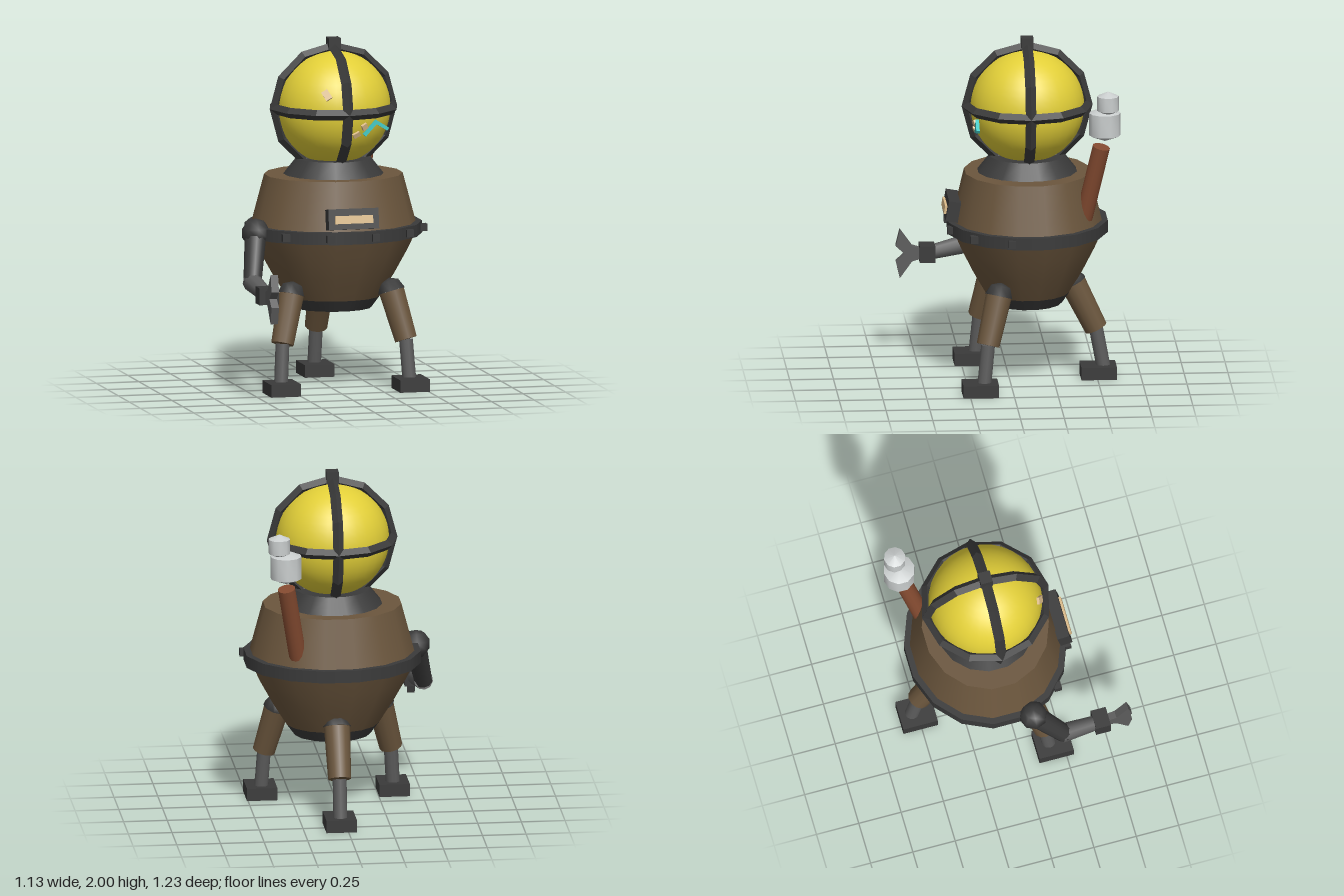
import * as THREE from 'three';
import { toCreasedNormals } from 'three/addons/utils/BufferGeometryUtils.js';

const paint = (name, color) => {
  const m = new THREE.MeshStandardMaterial({ color });
  m.name = name;
  return m;
};

export function createModel() {
  const brown = paint('bronze brown', 0x6b563d);
  const dark = paint('dark iron', 0x3a3a3a);
  const grey = paint('steel grey', 0x5c5c5c);
  const yellow = paint('yellow glass', 0xe2cf38);
  const tan = paint('pale tan', 0xdcbc8a);
  const rust = paint('rust pipe', 0x834a30);
  const smoke = paint('smoke grey', 0xcacece);
  const teal = paint('teal', 0x42cac6);

  const model = new THREE.Group();
  model.name = 'robot';
  const CX = 0.04, CZ = -0.102; // axis of the body

  const add = (name, geo, mat, x = 0, y = 0, z = 0, parent = model) => {
    const m = new THREE.Mesh(geo, mat);
    m.name = name;
    m.position.set(x, y, z);
    parent.add(m);
    return m;
  };
  const box = (name, mat, w, h, d, x, y, z, parent) =>
    add(name, new THREE.BoxGeometry(w, h, d), mat, x, y, z, parent);
  // tapered rod from point a to point b
  const rod = (name, mat, a, b, ra, rb, sides = 12, parent = model) => {
    const A = new THREE.Vector3(...a), B = new THREE.Vector3(...b);
    const m = add(name, new THREE.CylinderGeometry(rb, ra, A.distanceTo(B), sides), mat, 0, 0, 0, parent);
    m.position.copy(A).add(B).multiplyScalar(0.5);
    m.quaternion.setFromUnitVectors(new THREE.Vector3(0, 1, 0), B.sub(A).normalize());
    return m;
  };

  // Body: stacked round sections, slightly narrower front to back
  const body = new THREE.Group();
  body.name = 'body';
  body.position.set(CX, 0, CZ);
  body.scale.z = 0.91;
  model.add(body);
  const section = (name, mat, r0, y0, r1, y1, parent = body) => {
    const geo = new THREE.CylinderGeometry(r1, r0, y1 - y0, 16);
    geo.rotateY(Math.PI / 16);
    return add(name, geo, mat, 0, (y0 + y1) / 2, 0, parent);
  };
  section('bellyCap', dark, 0.22, 0.45, 0.268, 0.515);
  const belly = [[0.268, 0.515], [0.35, 0.645], [0.425, 0.78], [0.482, 0.9]];
  const bellyGeo = new THREE.LatheGeometry(belly.map(p => new THREE.Vector2(...p)), 16);
  bellyGeo.rotateY(Math.PI / 16);
  add('lowerHull', bellyGeo, brown, 0, 0, 0, body);
  section('upperHull', brown, 0.482, 0.9, 0.397, 1.22);
  section('waistBand', dark, 0.508, 0.872, 0.508, 0.942);

  // Bolts around the front of the band
  for (let i = 0; i < 6; i++) {
    const a = THREE.MathUtils.degToRad(-75 + i * 30);
    box('bandBolt', dark, 0.042, 0.042, 0.042,
      CX + 0.514 * Math.sin(a), 0.907, CZ + 0.46 * Math.cos(a));
  }

  // Neck and glass head
  const head = new THREE.Group();
  head.name = 'head';
  head.position.set(CX, 0, CZ);
  model.add(head);
  section('neck', dark, 0.29, 1.215, 0.215, 1.31, head);
  add('glassDome', new THREE.SphereGeometry(0.326, 32, 24), yellow, 0, 1.6, 0, head);

  // Cage of three faceted hoops with a top knob
  const hoop = toCreasedNormals(new THREE.TorusGeometry(0.344, 0.03, 4, 12), 0.1);
  add('cageHoopAcross', hoop, dark, 0, 1.6, 0, head);
  add('cageHoopFrontBack', hoop, dark, 0, 1.6, 0, head).rotation.y = Math.PI / 2;
  add('cageHoopEquator', hoop, dark, 0, 1.6, 0, head).rotation.x = Math.PI / 2;
  box('topKnob', dark, 0.07, 0.07, 0.07, 0, 1.965, 0, head);

  // Small marks on the glass
  const chevron = (x0, y0, x1, y1) => {
    const bar = box('tealMark', teal, Math.hypot(x1 - x0, y1 - y0) + 0.014, 0.02, 0.02,
      (x0 + x1) / 2, (y0 + y1) / 2, 0.194);
    bar.rotation.z = Math.atan2(y1 - y0, x1 - x0);
  };
  chevron(0.15, 1.48, 0.214, 1.55);
  chevron(0.214, 1.55, 0.278, 1.51);
  const centre = new THREE.Vector3(CX, 1.6, CZ);
  for (const [x, y, w, h, turn] of [
    [-0.073, 1.712, 0.04, 0.058, 0.6], [0.098, 1.48, 0.042, 0.028, 0.5], [0.145, 1.525, 0.034, 0.034, 0.5],
  ]) {
    const dir = new THREE.Vector3(x - CX, y - 1.6, 0);
    dir.z = Math.sqrt(0.331 ** 2 - dir.lengthSq());
    const p = centre.clone().add(dir);
    const patch = box('tanPatch', tan, w, h, 0.016, p.x, p.y, p.z);
    patch.lookAt(p.clone().add(dir));
    patch.rotateZ(turn);
  }

  // Chest lamp, tilted with the hull
  const lamp = new THREE.Group();
  lamp.name = 'chestLamp';
  lamp.position.set(CX, 1.016, 0.328);
  lamp.rotation.x = -0.17;
  model.add(lamp);
  box('lampFrame', dark, 0.295, 0.118, 0.07, 0, 0, 0, lamp);
  box('lampGlass', tan, 0.222, 0.046, 0.025, 0, -0.004, 0.036, lamp);

  // Three legs: two in front, one behind
  const leg = (name, hip, knee, ankle, foot) => {
    const g = new THREE.Group();
    g.name = name;
    model.add(g);
    const cap = rod('hipCap', dark, knee, hip, 0.08, 0.08, 12, g);
    cap.geometry = new THREE.SphereGeometry(0.081, 10, 2, 0, Math.PI * 2, 0, Math.PI / 2);
    cap.position.set(...hip);
    rod('thigh', brown, hip, knee, 0.075, 0.066, 12, g);
    rod('shin', grey, knee, ankle, 0.04, 0.04, 12, g);
    box('foot', dark, 0.174, 0.072, 0.203, foot[0], 0.036, foot[1], g);
  };
  for (const s of [-1, 1]) {
    leg(s < 0 ? 'frontRightLeg' : 'frontLeftLeg',
      [CX + s * 0.296, 0.555, 0.08], [CX + s * 0.363, 0.285, 0.145],
      [CX + s * 0.377, 0.06, 0.167], [CX + s * 0.379, 0.19]);
  }
  leg('backLeg', [CX, 0.555, -0.362], [CX, 0.285, -0.495], [CX, 0.06, -0.537], [CX, -0.508]);

  // Right arm with claw
  const arm = new THREE.Group();
  arm.name = 'rightArm';
  model.add(arm);
  add('shoulder', new THREE.SphereGeometry(0.083, 8, 5), dark, -0.455, 0.915, 0.043, arm);
  rod('upperArm', dark, [-0.457, 0.9, 0.05], [-0.517, 0.645, 0.212], 0.062, 0.052, 10, arm);
  rod('forearm', grey, [-0.515, 0.657, 0.19], [-0.488, 0.61, 0.42], 0.056, 0.042, 10, arm);
  box('wrist', dark, 0.115, 0.098, 0.088, -0.487, 0.612, 0.434, arm);
  const half = [[0.47, 0.03], [0.52, 0.045], [0.59, 0.142], [0.613, 0.045]];
  const outline = [...half, [0.563, 0], ...half.map(([z, y]) => [z, -y]).reverse()];
  const claw = new THREE.ExtrudeGeometry(
    new THREE.Shape(outline.map(([z, y]) => new THREE.Vector2(z, y))),
    { depth: 0.044, bevelEnabled: false });
  claw.rotateY(-Math.PI / 2);
  add('claw', claw, grey, -0.464, 0.61, 0, arm);

  // Exhaust pipe and smoke puffs
  rod('exhaustPipe', rust, [0.268, 0.98, -0.408], [0.345, 1.425, -0.505], 0.05, 0.05, 14);
  const puff = (x, y, z, r, side, tip) => {
    const pts = [[0, -tip], [r, -side], [r, side], [0, tip]].map(p => new THREE.Vector2(...p));
    add('smokePuff', toCreasedNormals(new THREE.LatheGeometry(pts, 10), 0.7), smoke, x, y, z);
  };
  puff(0.35, 1.56, -0.525, 0.09, 0.065, 0.1);
  puff(0.39, 1.69, -0.54, 0.062, 0.042, 0.07);

  return model;
}
